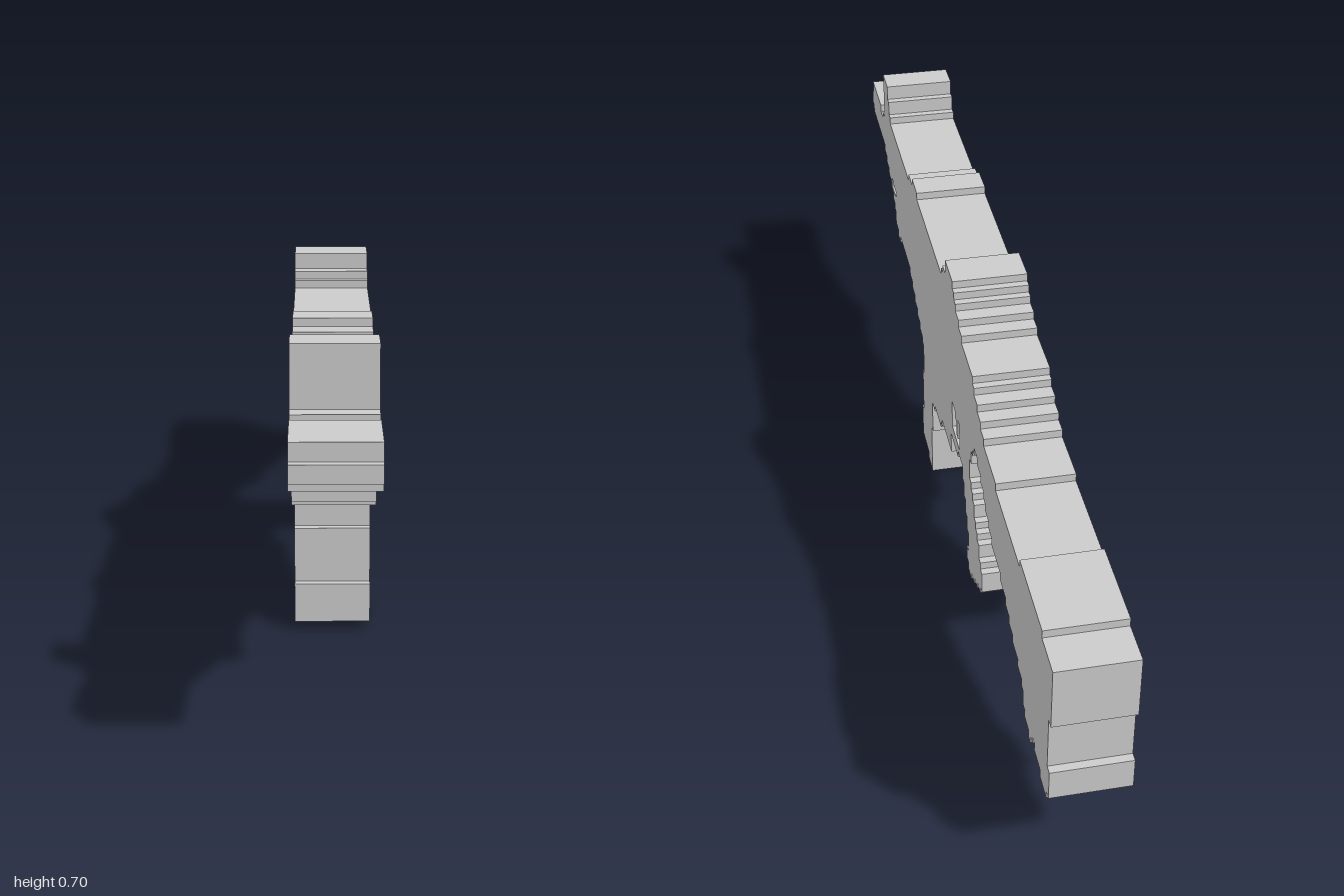
import * as THREE from 'three';

const U = 2 / 126;      // size of one grid cell
const WIDTH = 0.149;    // thickness of the slab along x
const material = new THREE.MeshStandardMaterial({ color: 0xcccccc, flatShading: true });

// Stepped edge: each run is [end, value], following on from the previous run
function steps(start, runs) {
  const points = [];
  let at = start;
  for (const [end, value] of runs) {
    points.push([at, value], [end, value]);
    at = end;
  }
  return points;
}

// Slab between two stepped edges. Cells count back from the muzzle and up from
// the ground; byRow means the runs go upward instead of backward.
function slab(name, start, low, high, { byRow = false, holes = [] } = {}) {
  let outline = [...steps(start, low), ...steps(start, high).reverse()];
  if (byRow) outline = outline.map(([r, c]) => [c, r]);
  const toVectors = pts => pts.map(([c, r]) => new THREE.Vector2((c - 63) * U, r * U));
  const shape = new THREE.Shape(toVectors(outline));
  for (const hole of holes) shape.holes.push(new THREE.Path(toVectors(hole)));
  const geometry = new THREE.ExtrudeGeometry(shape, { depth: WIDTH, bevelEnabled: false });
  geometry.translate(0, 0, -WIDTH / 2);
  geometry.rotateY(Math.PI / 2);   // rearward cells run towards -z
  const mesh = new THREE.Mesh(geometry, material);
  mesh.name = name;
  return mesh;
}

export function createModel() {
  const group = new THREE.Group();
  group.name = 'steppedGun';

  // Short barrel with blunt muzzle
  group.add(slab('barrel', 0,
    [[1, 33], [12, 32], [13, 31]],
    [[1, 35], [9, 37], [11, 36], [13, 37]]));

  // Receiver with handguard slot and trigger opening
  const slot = [[19, 29], [22, 29], [22, 29.4], [23, 29.4], [23, 30], [20, 30], [20, 30.4], [19, 30.4]]
    .map(([c, r]) => [c, r - 0.4]);
  const triggerOpening = [
    [69, 21], [74, 21], [74, 25], [73, 25], [73, 22], [72, 22],
    [72, 24], [71, 24], [71, 25], [69, 25],
  ];
  group.add(slab('receiver', 13,
    [[14, 31], [16, 30], [18, 29], [20, 28], [21, 27], [22, 26], [24, 24], [26, 23],
      [35, 24], [37, 23], [39, 22], [41, 21], [43, 20], [45, 19], [46, 18], [53, 17],
      [55, 13], [60, 14], [61, 15], [68, 16], [73, 19], [75, 20], [81, 22],
      [82, 25], [83, 27], [84, 28], [86, 29], [88, 28], [90, 27]],
    [[36, 39], [39, 40], [43, 41], [74, 40], [83, 39], [84, 38], [86, 37], [88, 36], [90, 35]],
    { holes: [slot, triggerOpening] }));

  // Sights on top
  group.add(slab('frontSight', 13, [[19, 39]], [[17, 44], [18, 42], [19, 40]]));
  group.add(slab('rearSight', 62, [[74, 40]],
    [[63, 41], [65, 42], [70, 44], [71, 43], [72, 42], [74, 41]]));
  group.add(slab('rearSightStep', 74, [[76, 39]], [[76, 40]]));

  // Magazine
  group.add(slab('magazine', 0,
    [[1, 49], [6, 44], [13, 45], [17, 46]],
    [[8, 52], [17, 53]], { byRow: true }));

  // Slanted pistol grip
  group.add(slab('grip', 6,
    [[7, 80], [9, 79], [12, 80], [14, 79], [16, 78], [18, 77], [20, 76], [22, 75]],
    [[7, 82], [8, 84], [9, 86], [10, 88], [13, 89], [14, 88], [16, 87], [17, 86],
      [18, 85], [20, 84], [21, 83], [22, 82]], { byRow: true }));

  // Shoulder stock
  group.add(slab('stock', 90,
    [[91, 26], [93, 25], [95, 24], [100, 23], [103, 22], [105, 21], [107, 20], [110, 19],
      [112, 18], [113, 17], [114, 15], [116, 14], [117, 13], [118, 14], [119, 15],
      [122, 14], [125, 13]],
    [[97, 34], [110, 33], [121, 34], [125, 33]]));

  // Raised ends of the butt
  group.add(slab('buttHeel', 125, [[126, 25]], [[126, 33]]));
  group.add(slab('buttToe', 125, [[126, 14]], [[126, 18]]));

  return group;
}
